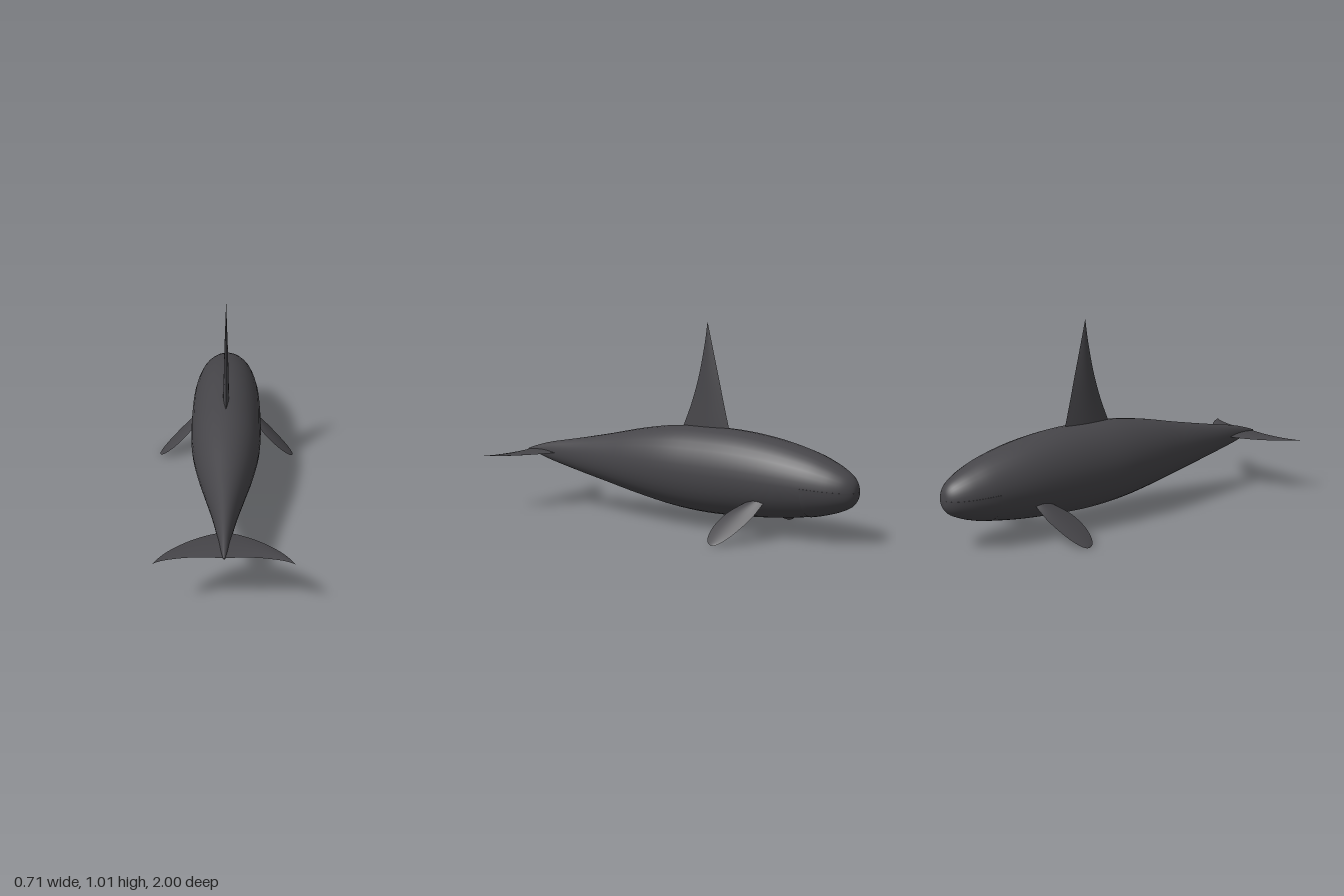
import * as THREE from 'three';

const skin = new THREE.MeshStandardMaterial({ color: 0x464549 });
skin.name = 'charcoal skin';

// Skin a list of rings (arrays of [x, y, z]) with smooth normals
function loft(rings, closed) {
  const n = rings[0].length, index = [];
  for (let i = 0; i < rings.length - 1; i++) {
    for (let j = 0; j < (closed ? n : n - 1); j++) {
      const a = i * n + j, b = i * n + (j + 1) % n;
      index.push(a, b, a + n, b, b + n, a + n);
    }
  }
  const g = new THREE.BufferGeometry();
  g.setAttribute('position', new THREE.Float32BufferAttribute(rings.flat(2), 3));
  g.setIndex(index);
  g.computeVertexNormals();
  return g;
}

const spline = (pts) =>
  new THREE.CatmullRomCurve3(pts.map((p) => new THREE.Vector3(...p)), false, 'catmullrom', 0.5);

// Body stations from nose to tail: z, top y, bottom y, half width
const BODY = [
  [-1, 0.265, 0.255, 0.004], [-0.993, 0.302, 0.222, 0.034], [-0.97, 0.334, 0.192, 0.064],
  [-0.93, 0.362, 0.17, 0.092], [-0.87, 0.392, 0.148, 0.118], [-0.77, 0.43, 0.124, 0.144],
  [-0.6, 0.471, 0.1, 0.167], [-0.4, 0.497, 0.085, 0.177], [-0.2, 0.503, 0.08, 0.178],
  [0, 0.496, 0.094, 0.171], [0.2, 0.466, 0.125, 0.144], [0.4, 0.422, 0.163, 0.103],
  [0.6, 0.381, 0.202, 0.062], [0.8, 0.343, 0.245, 0.03], [0.9, 0.316, 0.274, 0.016],
  [0.96, 0.295, 0.288, 0.004],
];
const topLine = spline(BODY.map(([z, t, , w]) => [w, t, z]));
const bottomLine = spline(BODY.map(([z, , b]) => [0, b, z]));

// Elliptical cross-section at t, swept between two angles and pushed out by lift
function section(t, from, to, count, lift = 0) {
  const u = topLine.getPoint(t), v = bottomLine.getPoint(t);
  const cy = (u.y + v.y) / 2, h = (u.y - v.y) / 2 + lift, w = u.x + lift;
  return Array.from({ length: count }, (_, j) => {
    const a = from + (to - from) * j / count;
    return [w * Math.cos(a), cy + h * Math.sin(a), u.z];
  });
}

function bodyGeometry() {
  const steps = 60, rings = [];
  for (let i = 0; i <= steps; i++) rings.push(section(i / steps, 0, Math.PI * 2, 32));
  const cap = (ring) => ring.map(() => [0, ring[0][1], ring[0][2]]);
  return loft([cap(rings[0]), ...rings, cap(rings[steps])], true);
}

// Lower jaw: thin shell under the nose whose turned-in rim forms the mouth seam
function jawGeometry() {
  const steps = 20, end = 5 / (BODY.length - 1), rings = [];
  const ring = (t, lift) => {
    const arc = section(t, Math.PI, Math.PI * 2 + Math.PI / 20, 21, lift);
    const inner = section(t, Math.PI, Math.PI * 2 + Math.PI / 20, 21, -0.006);
    return [inner[0], arc[0], ...arc, arc[20], inner[20]];
  };
  for (let i = 0; i <= steps; i++) rings.push(ring(end * i / steps, 0.002));
  rings.push(rings[steps], ring(end, -0.006));
  return loft(rings, false);
}

// Lens-section fin along +x; stations: span, leading z, trailing z, half thickness
function finGeometry(stations) {
  const lead = spline(stations.map(([s, a, , h]) => [s, h, a]));
  const trail = spline(stations.map(([s, , b]) => [s, 0, b]));
  const rings = [], steps = 24, m = 8;
  for (let i = 0; i <= steps; i++) {
    const p = lead.getPoint(i / steps), q = trail.getPoint(i / steps);
    const at = (k, side) =>
      [p.x, side * Math.max(p.y, 0) * Math.sin(Math.PI * k / m), p.z + (q.z - p.z) * k / m];
    const upper = [], lower = [];
    for (let k = 0; k <= m; k++) {
      upper.push(at(k, 1));
      lower.push(at(m - k, -1));
    }
    rings.push([...upper, ...lower]);
  }
  return loft(rings, false);
}

const DORSAL = [
  [0.44, -0.315, -0.005, 0.016], [0.5, -0.3, -0.036, 0.015], [0.62, -0.27, -0.085, 0.012],
  [0.75, -0.239, -0.125, 0.009], [0.9, -0.202, -0.157, 0.004], [1.012, -0.175, -0.174, 0.0005],
];
const PECTORAL = [
  [0, -0.585, -0.52, 0.012], [0.065, -0.573, -0.455, 0.011], [0.12, -0.56, -0.413, 0.009],
  [0.19, -0.531, -0.388, 0.007], [0.25, -0.498, -0.386, 0.005], [0.29, -0.466, -0.4, 0.003],
  [0.307, -0.44, -0.425, 0.001],
];
const FLUKE = [
  [0, 0.745, 0.955, 0.009], [0.08, 0.775, 0.948, 0.008], [0.165, 0.825, 0.952, 0.006],
  [0.245, 0.895, 0.967, 0.004], [0.29, 0.952, 0.983, 0.002], [0.316, 0.997, 0.999, 0.0005],
];

export function createModel() {
  const model = new THREE.Group();
  model.name = 'whale';
  const add = (name, geometry, x = 0, y = 0, turn = 0) => {
    const mesh = new THREE.Mesh(geometry, skin);
    mesh.name = name;
    mesh.position.set(x, y, 0);
    mesh.rotation.z = turn;
    model.add(mesh);
  };

  add('body', bodyGeometry());
  add('lowerJaw', jawGeometry());
  add('dorsalFin', finGeometry(DORSAL), 0, 0, Math.PI / 2);

  // Paired fins: the lens section is symmetric, so a turn mirrors them
  const pectoral = finGeometry(PECTORAL), fluke = finGeometry(FLUKE);
  const droop = 0.7;
  add('leftPectoralFin', pectoral, 0.12, 0.205, -droop);
  add('rightPectoralFin', pectoral, -0.12, 0.205, Math.PI + droop);
  add('leftFluke', fluke, 0, 0.291, 0);
  add('rightFluke', fluke, 0, 0.291, Math.PI);
  return model;
}
